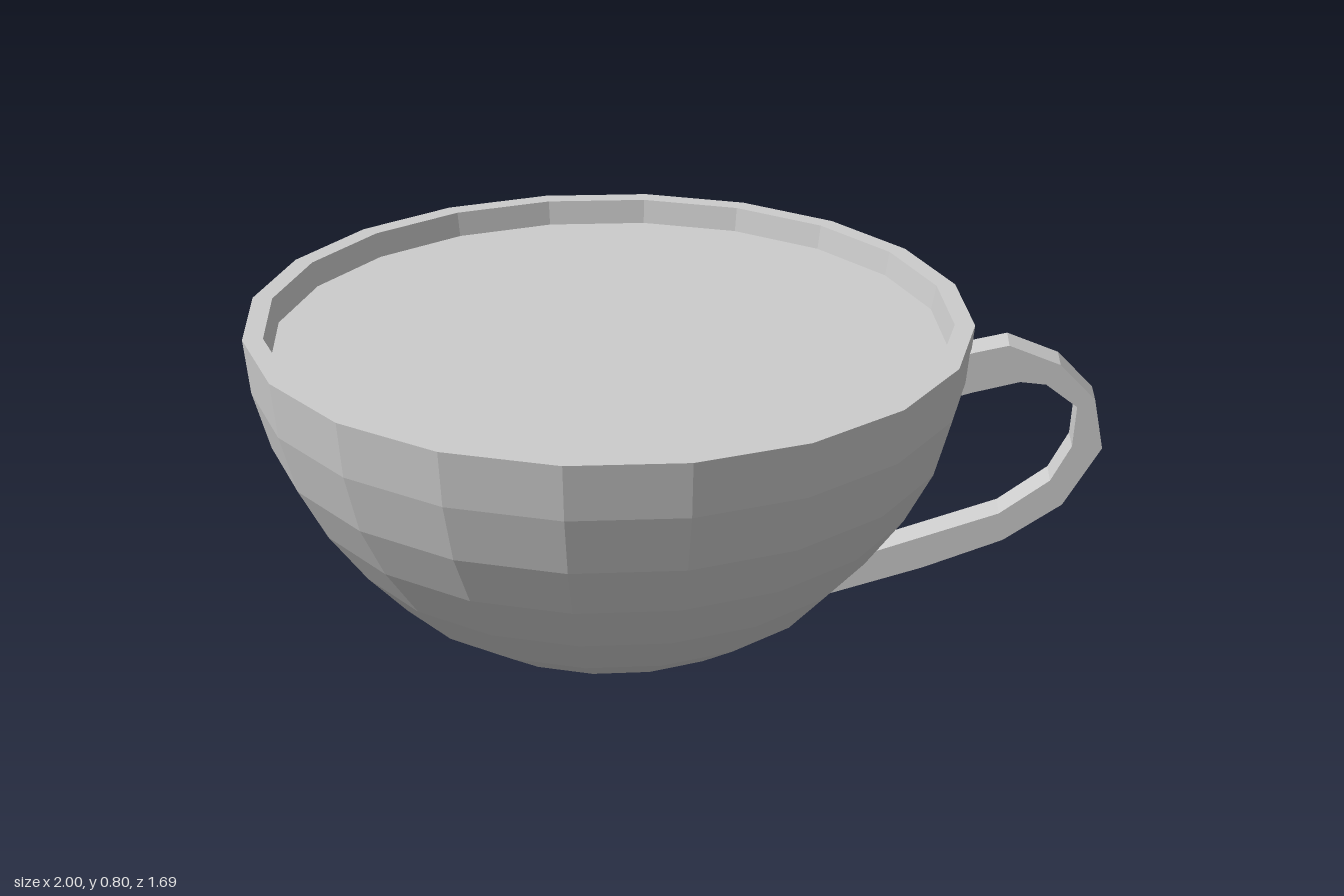
import * as THREE from 'three';

const SIDES = 20;
const CUP_X = -0.155;
const material = new THREE.MeshStandardMaterial({ color: 0xcccccc, flatShading: true });

// Faceted solid of revolution around the cup's axis, with a slightly tilted rim
function revolve(name, profile) {
  const points = profile.map(([r, y]) => new THREE.Vector2(r, y));
  const geometry = new THREE.LatheGeometry(points, SIDES, THREE.MathUtils.degToRad(-1.5));
  const p = geometry.attributes.position;
  for (let i = 0; i < p.count; i++) p.setY(i, p.getY(i) * (1 - 0.008 * p.getX(i)));
  geometry.computeVertexNormals();
  const mesh = new THREE.Mesh(geometry, material);
  mesh.name = name;
  mesh.position.x = CUP_X;
  return mesh;
}

// Bar with a square section: outline in the xy plane, given thickness in z
function makeHandle() {
  const outer = [[0.66, 0.72], [0.69, 0.73], [0.77, 0.75], [0.89, 0.705], [0.975, 0.62], [1, 0.497],
    [0.917, 0.348], [0.783, 0.25], [0.596, 0.17], [0.3, 0.065], [0.18, 0.025]];
  const inner = [[0.66, 0.62], [0.69, 0.63], [0.8, 0.66], [0.86, 0.655], [0.935, 0.6], [0.93, 0.5],
    [0.885, 0.41], [0.77, 0.32], [0.43, 0.19], [0.2, 0.09]];
  const outline = [...outer, ...inner.reverse()].map(([x, y]) => new THREE.Vector2(x, y));
  const geometry = new THREE.ExtrudeGeometry(new THREE.Shape(outline), { depth: 0.08, bevelEnabled: false });
  geometry.translate(0, 0, -0.025);
  const mesh = new THREE.Mesh(geometry, material);
  mesh.name = 'handle';
  return mesh;
}

export function createModel() {
  const group = new THREE.Group();
  group.name = 'cup';

  // Rounded bowl: flat base, curved wall, rim and short inner wall
  group.add(revolve('bowl', [
    [0, 0], [0.28, 0.01], [0.42, 0.06], [0.55, 0.15], [0.645, 0.26], [0.735, 0.39],
    [0.8, 0.52], [0.836, 0.66], [0.847, 0.79], [0.8, 0.79], [0.785, 0.71],
  ]));

  // Drink surface a little below the rim
  group.add(revolve('drink', [[0.792, 0.73], [0, 0.73]]));

  group.add(makeHandle());
  return group;
}
